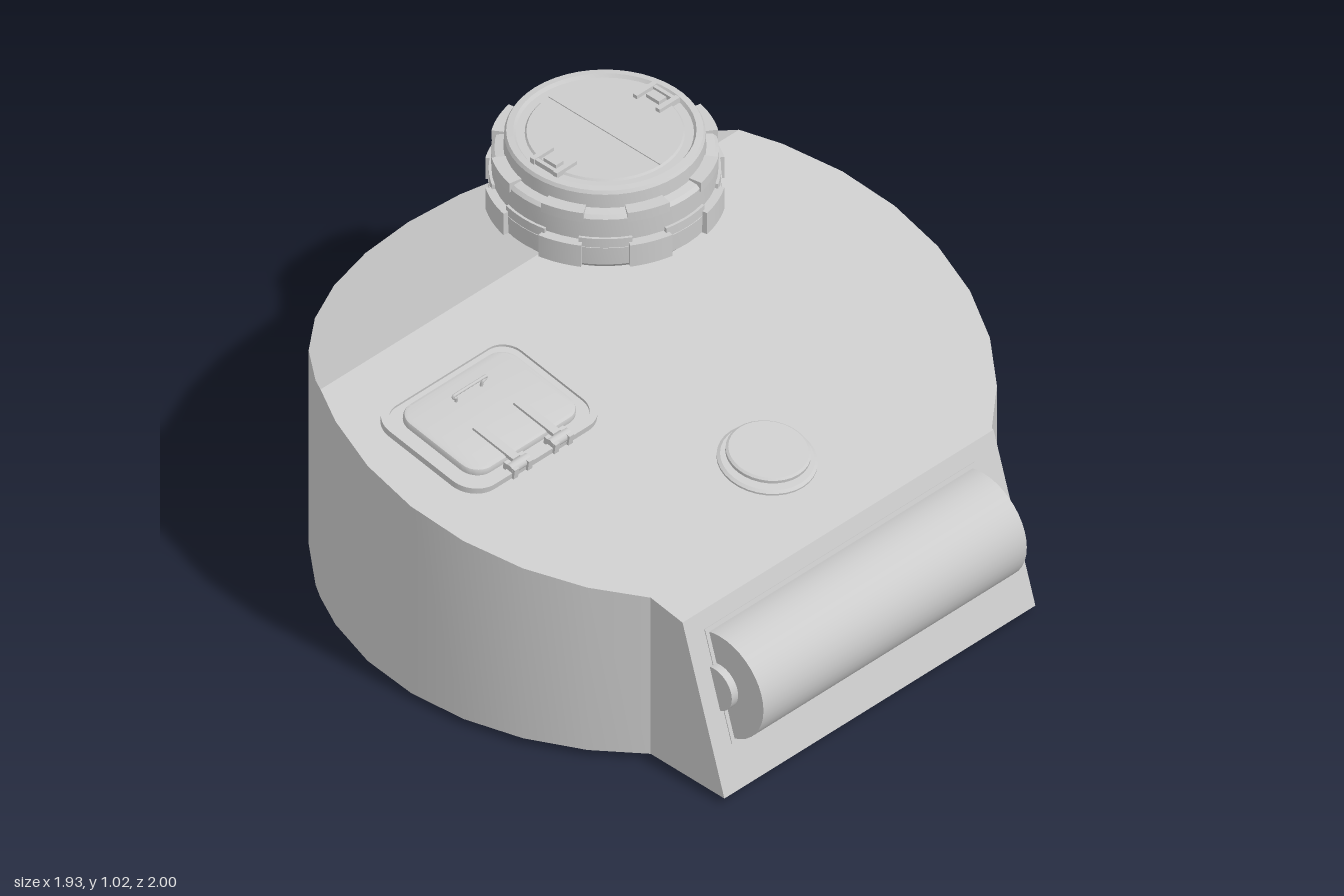
import * as THREE from 'three';
import { toCreasedNormals } from 'three/addons/utils/BufferGeometryUtils.js';

const material = new THREE.MeshStandardMaterial({ color: 0xcccccc });
const R = 0.965, ZC = -0.035, RIDGE = -0.52, SLOPE = 0.16;
const topY = (z) => 0.76 - (z > RIDGE ? SLOPE * (z - RIDGE) : 0.27 * (RIDGE - z));

function add(parent, name, geometry, x = 0, y = 0, z = 0) {
  const mesh = new THREE.Mesh(geometry, material);
  mesh.name = name;
  mesh.position.set(x, y, z);
  parent.add(mesh);
  return mesh;
}

function makeGroup(parent, name, x, y, z) {
  const g = new THREE.Group();
  g.name = name;
  g.position.set(x, y, z);
  parent.add(g);
  return g;
}

// Plan outline points on the round wall; 0 degrees is the back, + runs towards +x
function arc(from, to) {
  const pts = [];
  const at = (d) => {
    const a = THREE.MathUtils.degToRad(d);
    return [R * Math.sin(a), ZC - R * Math.cos(a)];
  };
  pts.push(at(from));
  for (let d = Math.ceil((from + 0.5) / 11.25) * 11.25; d < to - 0.5; d += 11.25) pts.push(at(d));
  pts.push(at(to));
  return pts;
}

// Wall block from a plan outline: sloped top, and a front face raked outwards at the foot
function bodyBlock(points) {
  const shape = new THREE.Shape(points.map(([x, z]) => new THREE.Vector2(x, -z)));
  const geo = new THREE.ExtrudeGeometry(shape, { depth: 1, bevelEnabled: false });
  geo.rotateX(-Math.PI / 2);
  const p = geo.attributes.position;
  for (let i = 0; i < p.count; i++) {
    const z = p.getZ(i);
    if (p.getY(i) > 0.5) p.setY(i, topY(z));
    else {
      p.setY(i, 0.02);
      if (z > 0.764) p.setZ(i, 0.93);
    }
  }
  geo.computeVertexNormals();
  return toCreasedNormals(geo, 0.3);
}

function roundedRect(w, d, r, Type = THREE.Shape) {
  const s = new Type(), x = w / 2, y = d / 2, q = Math.PI / 2;
  s.absarc(x - r, y - r, r, 0, q);
  s.absarc(-x + r, y - r, r, q, 2 * q);
  s.absarc(-x + r, -y + r, r, 2 * q, 3 * q);
  s.absarc(x - r, -y + r, r, 3 * q, 4 * q);
  s.closePath();
  return s;
}

function slab(shape, height, bevel = 0) {
  const geo = new THREE.ExtrudeGeometry(shape, {
    depth: height - bevel, curveSegments: 6, bevelEnabled: bevel > 0,
    bevelSize: bevel, bevelThickness: bevel, bevelOffset: -bevel, bevelSegments: 2,
  });
  geo.rotateX(-Math.PI / 2);
  return toCreasedNormals(geo, 0.5);
}

function lathe(profile, segments = 48) {
  const geo = new THREE.LatheGeometry(profile.map(([r, y]) => new THREE.Vector2(r, y)), segments);
  return toCreasedNormals(geo, 0.5);
}

// Curved tab wrapped round the y axis, centred on angle mid
function ringTab(inner, outer, y0, y1, mid, half) {
  const s = new THREE.Shape();
  s.absarc(0, 0, outer, mid - half, mid + half, false);
  s.absarc(0, 0, inner, mid + half, mid - half, true);
  s.closePath();
  const geo = new THREE.ExtrudeGeometry(s, { depth: y1 - y0, curveSegments: 6, bevelEnabled: false });
  geo.rotateX(-Math.PI / 2).translate(0, y0, 0);
  return toCreasedNormals(geo, 0.5);
}

function buildBody(root) {
  const body = makeGroup(root, 'body', 0, 0, 0);
  add(body, 'rearBody', bodyBlock(arc(-59.83, 59.83)));
  const front = [...arc(59.83, 145.25), [0.55, 0.765], [-0.69, 0.765], ...arc(225.65, 300.17)];
  add(body, 'frontBody', bodyBlock(front));
  add(body, 'basePlate', new THREE.CylinderGeometry(0.89, 0.89, 0.03, 64), 0, 0.015, -0.03);
}

function buildRoller(root) {
  const roller = makeGroup(root, 'roller', -0.082, 0.325, 0.832);
  const bar = (r, len) => new THREE.CylinderGeometry(r, r, len, 40).rotateZ(Math.PI / 2);
  add(roller, 'rollerDrum', bar(0.17, 1.05));
  add(roller, 'rollerAxle', bar(0.07, 1.1));
  // thin seat following the raked face
  const seat = add(roller, 'rollerSeat', new THREE.BoxGeometry(1.076, 0.365, 0.02), 0, 0, -0.004);
  seat.rotation.x = -Math.atan2(0.165, 0.535);
}

function buildCap(root) {
  const cap = makeGroup(root, 'cap', 0.34, 0, -0.56);
  add(cap, 'neck', new THREE.CylinderGeometry(0.255, 0.255, 0.22, 48), 0, 0.69, 0);
  add(cap, 'lowerRing', lathe([[0.25, 0.755], [0.3, 0.76], [0.325, 0.785], [0.328, 0.845], [0.3, 0.852], [0.3, 0.87]]));
  add(cap, 'upperRing', lathe([[0.295, 0.862], [0.318, 0.865], [0.32, 0.94], [0.31, 0.95], [0.285, 0.955]]));
  add(cap, 'lid', lathe([[0.285, 0.94], [0.283, 1], [0.277, 1.01], [0.257, 1.012], [0.25, 1.002], [0.225, 1.002], [0.22, 1.008], [0, 1.008]]));
  // alternating grip tabs and locking blocks
  for (let i = 0; i < 8; i++) {
    const a = (i * Math.PI) / 4;
    add(cap, 'lockBlock', ringTab(0.29, 0.326, 0.84, 0.876, a, 0.235));
    add(cap, 'lowerGrip', ringTab(0.3, 0.342, 0.785, 0.86, a + Math.PI / 8, 0.19));
    add(cap, 'upperGrip', ringTab(0.28, 0.324, 0.93, 0.962, a + Math.PI / 8, 0.2));
  }
  add(cap, 'lidSeam', new THREE.BoxGeometry(0.006, 0.006, 0.44), 0, 1.008, 0);
  // two small latches facing each other
  for (const s of [-1, 1]) {
    const latch = makeGroup(cap, 'latch', s * 0.205, 1.01, 0);
    add(latch, 'latchBar', new THREE.BoxGeometry(0.03, 0.02, 0.05));
    for (const e of [-1, 1]) add(latch, 'latchArm', new THREE.BoxGeometry(0.08, 0.02, 0.016), 0, 0, e * 0.045);
    add(latch, 'latchPin', new THREE.BoxGeometry(0.012, 0.016, 0.1), s * 0.03, 0, 0);
  }
}

// Group lying on the front slope of the top
function onSlope(root, name, x, z) {
  const g = makeGroup(root, name, x, topY(z), z);
  g.rotation.x = Math.atan(SLOPE);
  return g;
}

function buildButton(root) {
  const button = onSlope(root, 'button', -0.04, 0.455);
  add(button, 'buttonBase', lathe([[0.143, -0.01], [0.143, 0.006], [0.134, 0.012], [0.1, 0.012]], 32));
  add(button, 'buttonTop', lathe([[0.1, 0], [0.105, 0.022], [0.121, 0.026], [0.121, 0.036], [0.114, 0.041], [0, 0.041]], 32));
}

function buildHatch(root) {
  const hatch = onSlope(root, 'hatch', -0.543, -0.145);
  const rim = roundedRect(0.545, 0.42, 0.085);
  rim.holes.push(roundedRect(0.5, 0.375, 0.065, THREE.Path));
  add(hatch, 'hatchRim', slab(rim, 0.02));
  add(hatch, 'hatchPlate', slab(roundedRect(0.52, 0.39, 0.075), 0.012));
  add(hatch, 'hatchLid', slab(roundedRect(0.435, 0.325, 0.06), 0.034, 0.01));
  // hinges with straps reaching over the lid
  for (const s of [-1, 1]) {
    const hinge = makeGroup(hatch, 'hinge', s * 0.081, 0, 0);
    add(hinge, 'hingeStrap', new THREE.BoxGeometry(0.028, 0.012, 0.16), 0, 0.036, 0.105);
    add(hinge, 'hingePin', new THREE.CylinderGeometry(0.017, 0.017, 0.075, 12).rotateZ(Math.PI / 2), 0, 0.022, 0.195);
    for (const e of [-1, 1]) add(hinge, 'hingeLug', new THREE.BoxGeometry(0.018, 0.034, 0.045), e * 0.028, 0.018, 0.195);
  }
  // wire handle
  const path = new THREE.CatmullRomCurve3([
    [-0.05, 0.03], [-0.052, 0.048], [-0.066, 0.056], [-0.06, 0.064], [0.06, 0.064], [0.066, 0.056], [0.052, 0.048], [0.05, 0.03],
  ].map(([x, y]) => new THREE.Vector3(x, y, -0.085)), false, 'catmullrom', 0.2);
  add(hatch, 'hatchHandle', new THREE.TubeGeometry(path, 40, 0.005, 8));
}

export function createModel() {
  const root = new THREE.Group();
  root.name = 'roundDevice';
  buildBody(root);
  buildRoller(root);
  buildCap(root);
  buildButton(root);
  buildHatch(root);
  return root;
}
